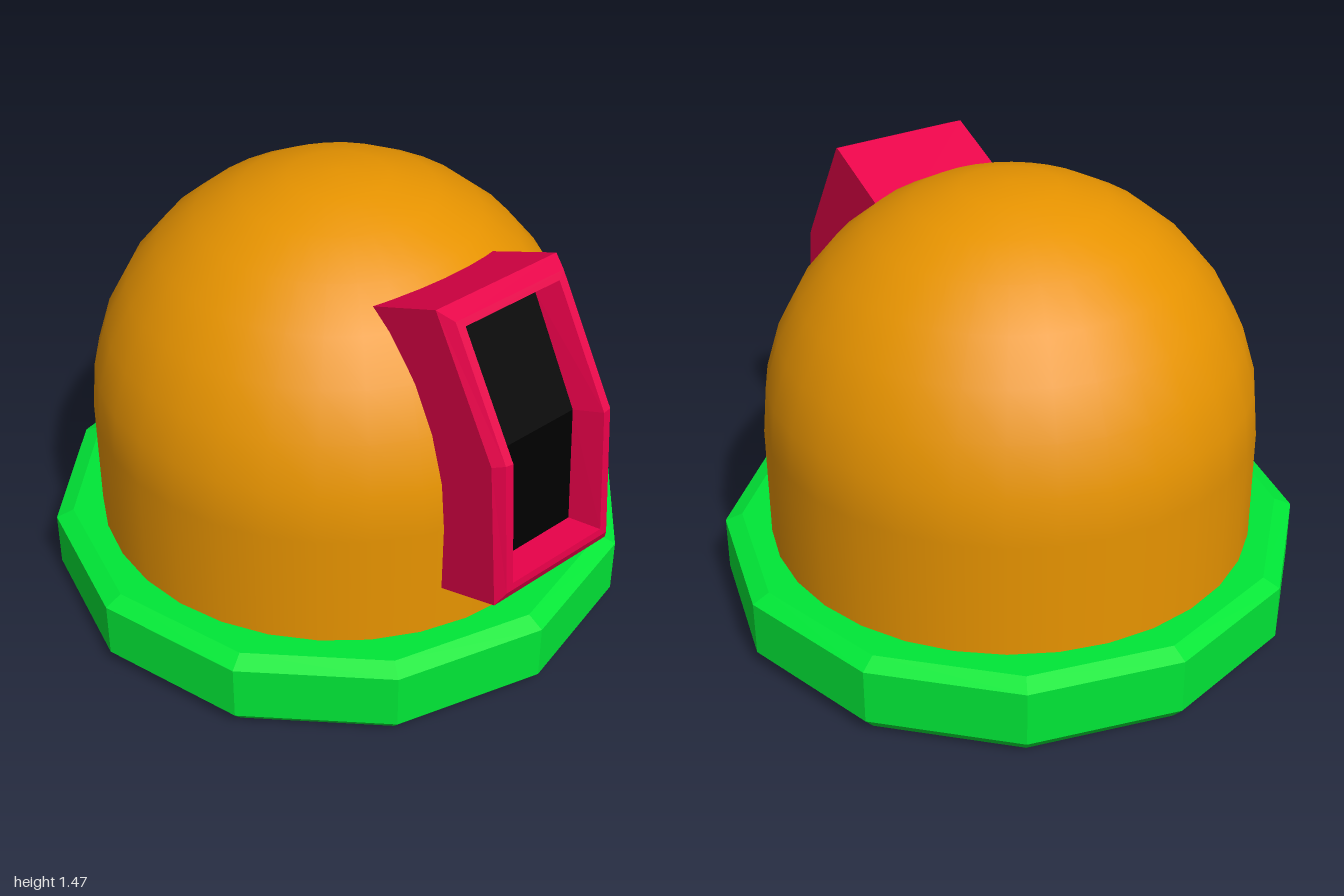
import * as THREE from 'three';

const material = (name, color, side = THREE.FrontSide) => {
  const m = new THREE.MeshStandardMaterial({ color, side });
  m.name = name;
  return m;
};

const CENTRE_X = -0.022;

function addPart(parent, name, geometry, mat, x = 0, y = 0, z = 0) {
  const mesh = new THREE.Mesh(geometry, mat);
  mesh.name = name;
  mesh.position.set(x, y, z);
  parent.add(mesh);
}

// Faceted copy of a geometry
function faceted(geometry) {
  const flat = geometry.index ? geometry.toNonIndexed() : geometry;
  flat.computeVertexNormals();
  return flat;
}

// Six-point loop from a side profile (top, bend, bottom) and a half width
function windowLoop([top, bend, bottom, w]) {
  const side = [top, bend, bottom];
  return [
    ...side.map(([x, y]) => [x, y, w]),
    ...side.reverse().map(([x, y]) => [x, y, -w]),
  ];
}

function quads(list) {
  const positions = [];
  for (const [a, b, c, d] of list) positions.push(...a, ...b, ...c, ...a, ...c, ...d);
  const g = new THREE.BufferGeometry();
  g.setAttribute('position', new THREE.Float32BufferAttribute(positions, 3));
  return faceted(g);
}

export function createModel() {
  const model = new THREE.Group();
  model.name = 'domeWithWindow';
  const green = material('green', 0x00ec38, THREE.DoubleSide);
  const orange = material('orange', 0xe89400);
  const crimson = material('crimson', 0xe80049);
  const black = material('black', 0x000000);

  // Twelve-sided base with chamfered rims, hollow and open underneath
  const baseProfile = [[0.935, 0], [0.978, 0.05], [0.978, 0.24], [0.92, 0.265], [0, 0.265]]
    .map(([r, y]) => new THREE.Vector2(r, y));
  addPart(model, 'base', faceted(new THREE.LatheGeometry(baseProfile, 12)), green, CENTRE_X);

  // Straight wall with a hemisphere on top
  const radius = 0.817, spring = 0.655, foot = 0.265, sides = 32;
  const wall = new THREE.CylinderGeometry(radius, radius, spring - foot, sides, 1, true);
  addPart(model, 'domeWall', wall, orange, CENTRE_X, (spring + foot) / 2);
  const cap = new THREE.SphereGeometry(radius, sides, 8, 0, Math.PI * 2, 0, Math.PI / 2);
  addPart(model, 'domeCap', cap, orange, CENTRE_X, spring);

  // Bent window: loops run from inside the dome, over the bevelled frame, into the recess
  const loops = [
    [[0.3, 1.235], [0.6, 0.9], [0.6, 0.367], 0.243],
    [[0.683, 1.398], [0.93, 0.99], [0.975, 0.503], 0.243],
    [[0.738, 1.375], [0.962, 1.0], [0.998, 0.55], 0.218],
    [[0.75, 1.355], [0.964, 0.997], [0.996, 0.575], 0.19],
    [[0.69, 1.3], [0.872, 0.975], [0.895, 0.577], 0.156],
  ].map(windowLoop);
  const frameFaces = [];
  for (let k = 0; k < loops.length - 1; k++) {
    for (let i = 0; i < 6; i++) {
      const j = (i + 1) % 6;
      frameFaces.push([loops[k][i], loops[k][j], loops[k + 1][j], loops[k + 1][i]]);
    }
  }
  const windowGroup = new THREE.Group();
  windowGroup.name = 'window';
  windowGroup.position.z = 0.006;
  model.add(windowGroup);
  addPart(windowGroup, 'windowFrame', quads(frameFaces), crimson);

  // Dark pane at the back of the recess
  const [t, m, b, b2, m2, t2] = loops[loops.length - 1];
  addPart(windowGroup, 'windowPane', quads([[t, m, m2, t2], [m, b, b2, m2]]), black);

  return model;
}
